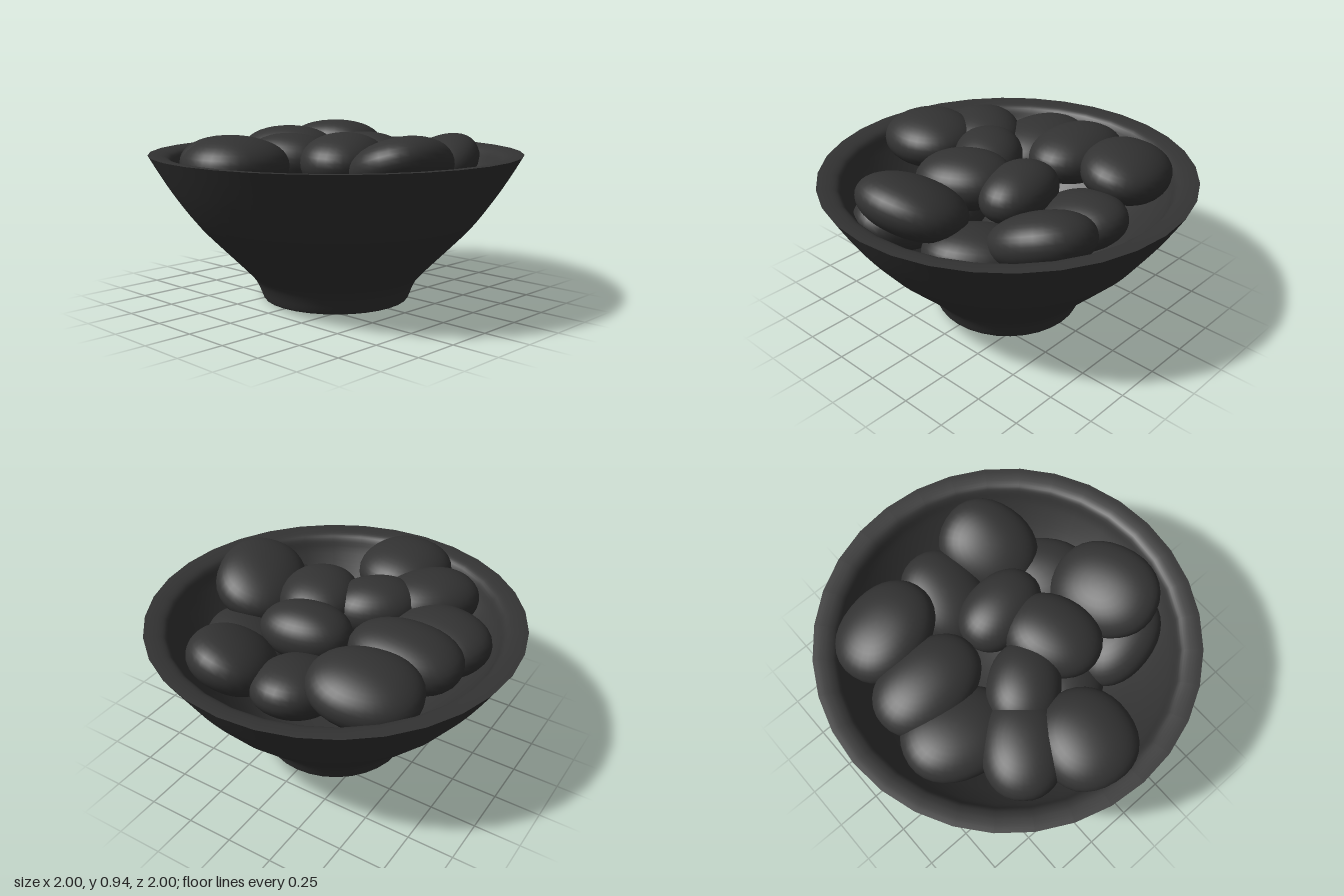
import * as THREE from 'three';

const SEGMENTS = 32;

// Smooth surface spun from [radius, height] pairs
function spun(name, pairs, material) {
  const curve = new THREE.SplineCurve(pairs.map(([r, y]) => new THREE.Vector2(r, y)));
  const mesh = new THREE.Mesh(new THREE.LatheGeometry(curve.getPoints(pairs.length * 3), SEGMENTS), material);
  mesh.name = name;
  return mesh;
}

// Egg: a slightly squared sphere that narrows a little towards +x
function eggGeometry() {
  const geometry = new THREE.SphereGeometry(1, 32, 20);
  const p = geometry.attributes.position;
  const swell = (v) => Math.sign(v) * Math.abs(v) ** 0.92;
  for (let i = 0; i < p.count; i++) {
    const taper = 1 - 0.04 * p.getX(i);
    p.setXYZ(i, swell(p.getX(i)), swell(p.getY(i)) * taper, swell(p.getZ(i)) * taper);
  }
  // Normals from the round sphere are kept, so the seam stays invisible
  return geometry;
}

export function createModel() {
  const model = new THREE.Group();
  const bowlMaterial = new THREE.MeshStandardMaterial({ color: 0x333333, side: THREE.DoubleSide });
  const eggMaterial = new THREE.MeshStandardMaterial({ color: 0x333333 });

  // Bowl: hollow foot, flared outside, sloping rim that rolls into the inside
  const bowl = new THREE.Group();
  bowl.name = 'bowl';
  bowl.add(
    spun('footHollow', [[0, 0.1], [0.16, 0.095], [0.27, 0.075], [0.325, 0.04], [0.35, 0.01], [0.38, 0]], bowlMaterial),
    spun('bowlOutside', [
      [0.38, 0], [0.395, 0.005], [0.405, 0.025], [0.425, 0.075], [0.455, 0.125], [0.53, 0.205],
      [0.64, 0.315], [0.755, 0.435], [0.86, 0.575], [0.94, 0.7], [1, 0.803],
    ], bowlMaterial),
    spun('bowlInside', [
      [1, 0.803], [0.96, 0.802], [0.91, 0.793], [0.88, 0.77], [0.85, 0.71], [0.79, 0.62],
      [0.72, 0.53], [0.6, 0.39], [0.46, 0.26], [0.28, 0.17], [0, 0.14],
    ], bowlMaterial),
  );
  model.add(bowl);

  // Eggs: x, z, centre height, half length, half width, turn about y, lean (outer side up)
  const eggs = [
    [-0.445, -0.445, 0.785, 0.29, 0.235, 0.25, -0.18],
    [-0.465, -0.085, 0.77, 0.305, 0.22, 0.03, -0.05],
    [-0.5, 0.2, 0.71, 0.3, 0.24, -0.3, 0.1],
    [-0.31, 0.47, 0.755, 0.275, 0.21, 0.85, 0],
    [-0.055, 0.65, 0.775, 0.265, 0.25, 1.4, 0],
    [0.57, 0.125, 0.77, 0.295, 0.25, -1.2, 0.35],
    [0.19, 0.14, 0.775, 0.26, 0.215, -1.15, -0.05],
    [0.085, -0.155, 0.76, 0.25, 0.18, 0.15, 0],
    [0.3, -0.5, 0.705, 0.275, 0.235, -1.25, 0.45],
    [-0.06, -0.45, 0.645, 0.265, 0.22, 1.5, 0.25],
    [0.44, -0.2, 0.57, 0.28, 0.23, -0.8, 0.2],
    [0.49, 0.32, 0.59, 0.28, 0.21, 0.1, 0.35],
    [-0.1, 0.24, 0.765, 0.24, 0.19, 0.7, 0],
    [0.1, 0.34, 0.5, 0.26, 0.2, 0.4, 0],
  ];
  const geometry = eggGeometry();
  const pile = new THREE.Group();
  pile.name = 'eggs';
  eggs.forEach(([x, z, y, length, width, turn, lean], i) => {
    const egg = new THREE.Mesh(geometry, eggMaterial);
    egg.name = `egg${i + 1}`;
    egg.scale.set(length, 0.145, width);
    egg.rotation.y = turn;
    egg.rotateOnWorldAxis(new THREE.Vector3(-z, 0, x).normalize(), lean);
    egg.position.set(x, y, z);
    pile.add(egg);
  });
  model.add(pile);

  return model;
}
